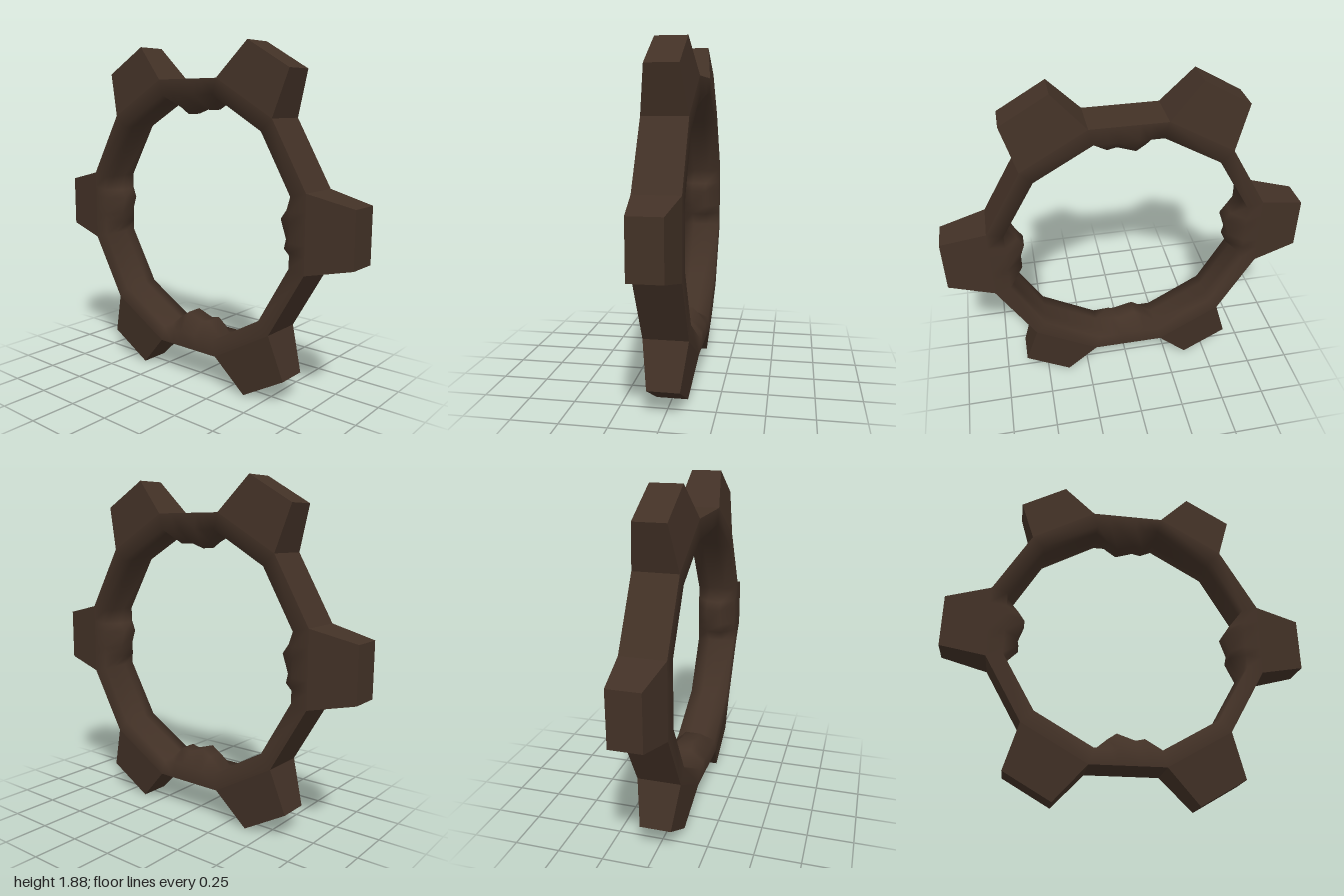
import * as THREE from 'three';

const SIDES = 12;
const OUTER = 0.78, INNER = 0.69;              // corner radii of the twelve-sided ring
const HALF = Math.PI / SIDES;
const APOTHEM_OUT = OUTER * Math.cos(HALF), APOTHEM_IN = INNER * Math.cos(HALF);
const HALF_OUT = OUTER * Math.sin(HALF), HALF_IN = INNER * Math.sin(HALF);
const DEPTH = 0.118;                           // half thickness of the ring

// Jagged lump on an inner side: [position along the side, height]
const LUMP = [[-0.1, 0.077], [-0.05, 0.066], [0.05, 0.1], [0.1, 0.066]];

// Smooth front, inner and back surface, swept around the ring
function ringGeometry() {
  const positions = [], index = [];
  let count = 0;
  for (let k = 0; k < SIDES; k++) {
    const a = k * Math.PI / 6, cos = Math.cos(a), sin = Math.sin(a);
    const points = [[-HALF_IN, 0]];
    if (k % 3 === 0) {
      const lump = k < 6 ? LUMP : LUMP.map(([t, h]) => [-t, h]).reverse();
      points.push(...lump);
    }
    for (const [t, h] of points) {
      const outerT = t * OUTER / INNER;
      const rows = [
        [APOTHEM_OUT, outerT, DEPTH],
        [APOTHEM_IN, t, DEPTH],
        [APOTHEM_IN - h, t, 0.045],
        [APOTHEM_IN - h, t, -0.045],
        [APOTHEM_IN, t, -DEPTH],
        [APOTHEM_OUT, outerT, -DEPTH],
      ];
      for (const [r, s, z] of rows) positions.push(r * cos - s * sin, r * sin + s * cos, z);
      count++;
    }
  }
  for (let i = 0; i < count; i++) {
    const j = (i + 1) % count;
    for (let row = 0; row < 5; row++) {
      const a = i * 6 + row, b = j * 6 + row;
      index.push(a, b, a + 1, b, b + 1, a + 1);
    }
  }
  const g = new THREE.BufferGeometry();
  g.setAttribute('position', new THREE.Float32BufferAttribute(positions, 3));
  g.setIndex(index);
  g.computeVertexNormals();
  return g;
}

// Box tapered towards its +x end
function toothGeometry() {
  const length = 1 - APOTHEM_OUT;
  const g = new THREE.BoxGeometry(length, HALF_OUT * 2, DEPTH * 2);
  const p = g.attributes.position;
  for (let i = 0; i < p.count; i++) {
    if (p.getX(i) > 0) {
      p.setY(i, Math.sign(p.getY(i)) * 0.145);
      p.setZ(i, Math.sign(p.getZ(i)) * 0.085);
    }
  }
  g.translate(APOTHEM_OUT + length / 2, 0, 0);
  g.computeVertexNormals();
  return g;
}

export function createModel() {
  const model = new THREE.Group();
  model.name = 'gearRing';
  const brown = new THREE.MeshStandardMaterial({ color: 0x423126 });
  brown.name = 'darkBrown';

  const add = (name, geometry, angle = 0) => {
    const mesh = new THREE.Mesh(geometry, brown);
    mesh.name = name;
    mesh.rotation.z = angle;
    mesh.position.y = 0.94;
    model.add(mesh);
  };

  add('innerRing', ringGeometry());

  // Teeth alternate with flat rim sections
  const tooth = toothGeometry();
  const rim = new THREE.PlaneGeometry(DEPTH * 2, HALF_OUT * 2)
    .rotateY(Math.PI / 2)
    .translate(APOTHEM_OUT, 0, 0);
  for (let k = 0; k < SIDES; k++) {
    if (k % 2 === 0) add('tooth', tooth, k * Math.PI / 6);
    else add('outerRim', rim, k * Math.PI / 6);
  }
  return model;
}
